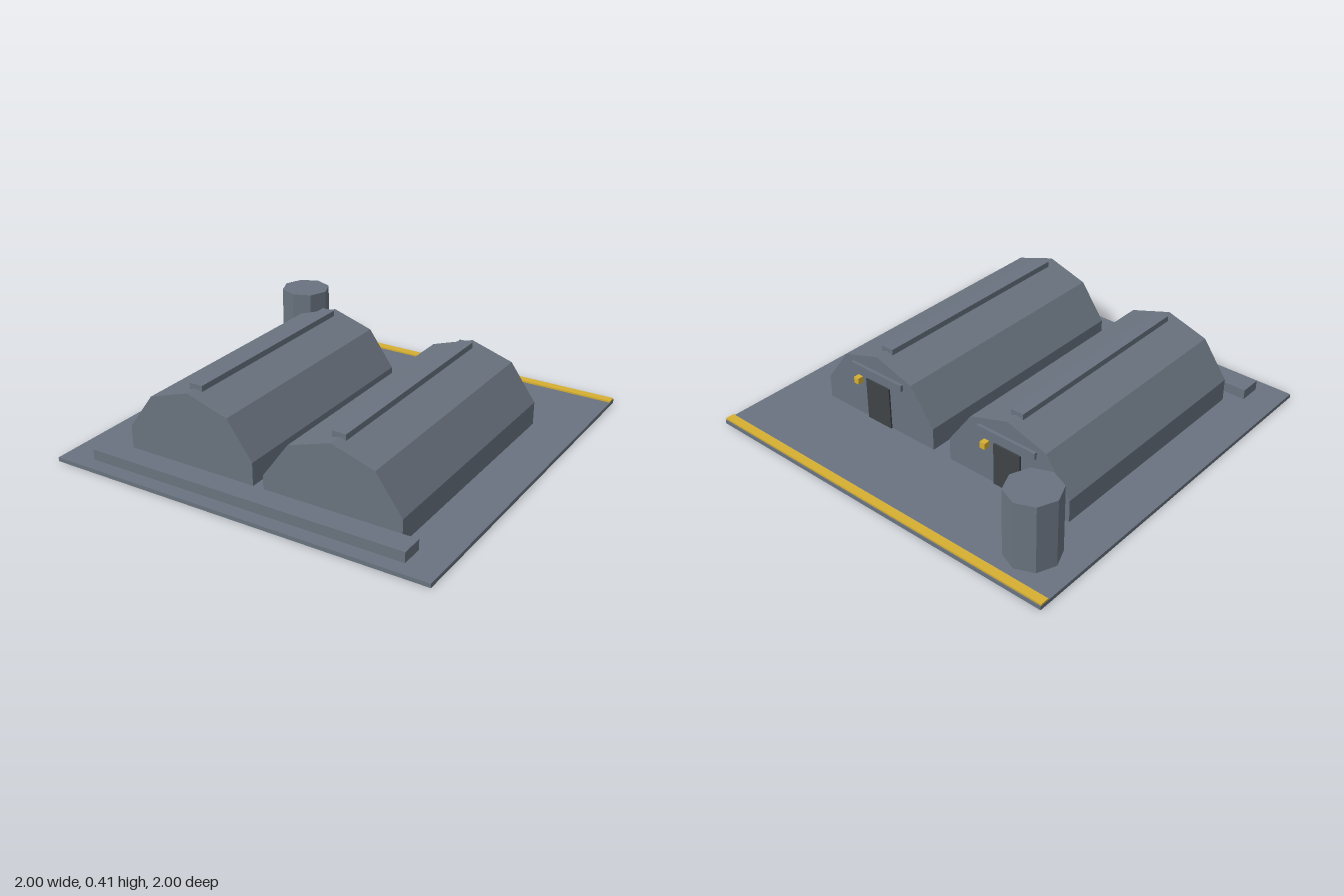
import * as THREE from 'three';

const mat = (name, color) => {
  const m = new THREE.MeshStandardMaterial({ color });
  m.name = name;
  return m;
};

export function createModel() {
  const grey = mat('slate grey', 0x69737f);
  const dark = mat('door charcoal', 0x3e4346);
  const yellow = mat('safety yellow', 0xd6b032);
  grey.flatShading = true;

  const root = new THREE.Group();
  root.name = 'depot';

  // Box given by its min and max corners
  const box = (parent, name, material, [x0, y0, z0], [x1, y1, z1]) => {
    const mesh = new THREE.Mesh(new THREE.BoxGeometry(x1 - x0, y1 - y0, z1 - z0), material);
    mesh.position.set((x0 + x1) / 2, (y0 + y1) / 2, (z0 + z1) / 2);
    mesh.name = name;
    parent.add(mesh);
  };

  // Ground slab, yellow edge strip and front kerb
  box(root, 'groundSlab', grey, [-1, 0, -1], [1, 0.02, 1]);
  box(root, 'edgeStrip', yellow, [-1, 0.02, -0.995], [1, 0.029, -0.95]);
  box(root, 'frontKerb', grey, [-0.843, 0.02, 0.808], [0.84, 0.072, 0.925]);

  // Octagonal tank
  const tank = new THREE.Mesh(new THREE.CylinderGeometry(0.132, 0.132, 0.35, 8), grey);
  tank.position.set(-0.768, 0.195, -0.768);
  tank.name = 'tank';
  root.add(tank);

  // Shed with gambrel profile, ridge vent, door, canopy and lamp
  const back = -0.515;
  const addShed = (name, x, front, ridgeBack, ridgeFront) => {
    const shed = new THREE.Group();
    shed.name = name;
    shed.position.x = x;
    const profile = [[-0.354, 0.02], [0.354, 0.02], [0.354, 0.138], [0.219, 0.325],
      [0, 0.395], [-0.219, 0.325], [-0.354, 0.138]];
    const shape = new THREE.Shape(profile.map(([px, py]) => new THREE.Vector2(px, py)));
    const hall = new THREE.Mesh(
      new THREE.ExtrudeGeometry(shape, { depth: front - back, bevelEnabled: false }), grey);
    hall.position.z = back;
    hall.name = 'hall';
    shed.add(hall);
    box(shed, 'ridgeVent', grey, [-0.035, 0.385, ridgeBack], [0.035, 0.415, ridgeFront]);
    box(shed, 'door', dark, [-0.077, 0.02, back - 0.009], [0.077, 0.245, back]);
    box(shed, 'canopy', grey, [-0.167, 0.275, back - 0.016], [0.167, 0.31, back]);
    box(shed, 'lamp', yellow, [0.108, 0.208, back - 0.032], [0.138, 0.241, back]);
    root.add(shed);
  };
  addShed('rightShed', -0.41, 0.737, -0.45, 0.672);
  addShed('leftShed', 0.406, 0.805, -0.445, 0.735);

  return root;
}
